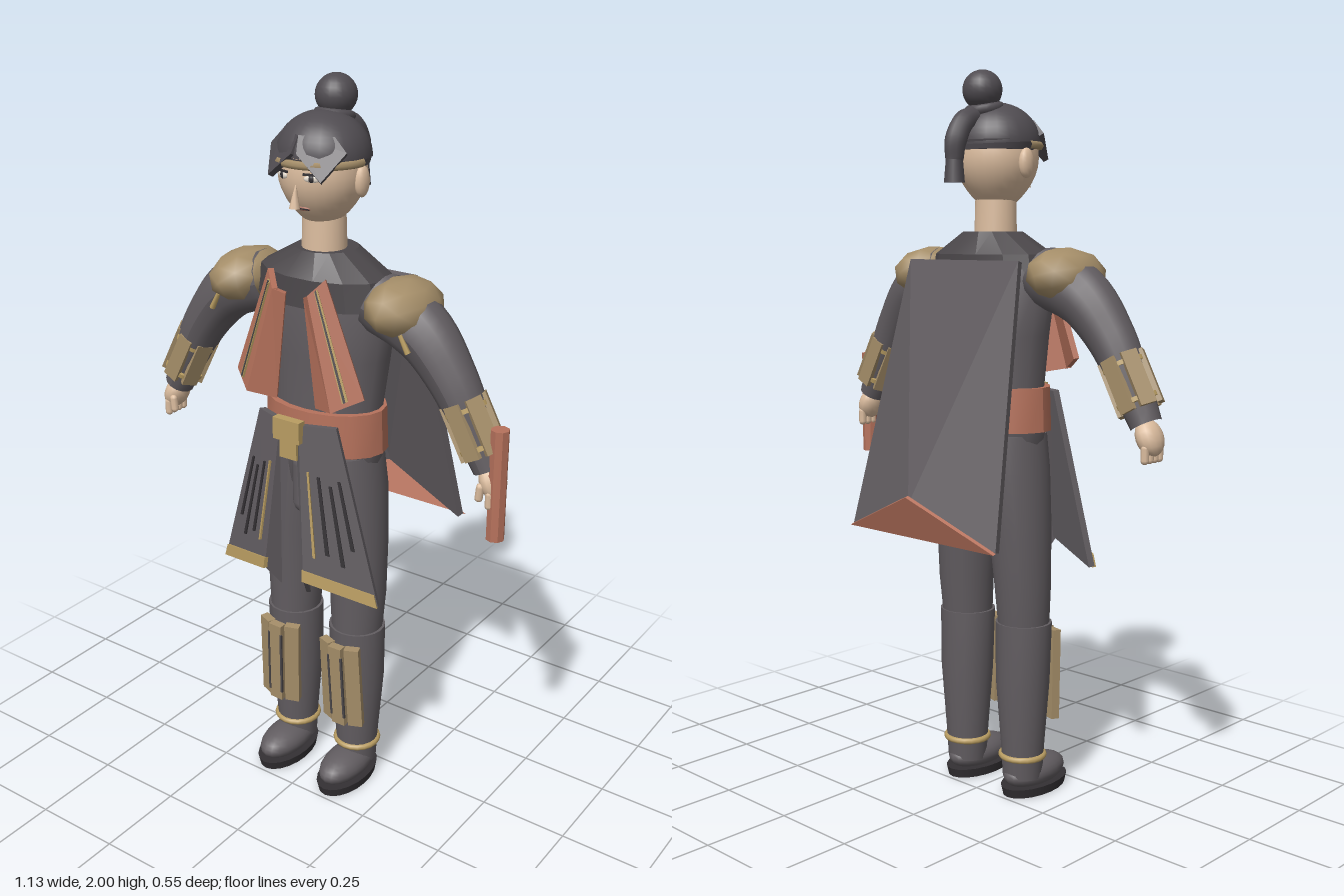
import * as THREE from 'three';
import { toCreasedNormals } from 'three/addons/utils/BufferGeometryUtils.js';

const V = (a) => new THREE.Vector3(...a);
const colour = (name, color) => Object.assign(new THREE.MeshStandardMaterial({ color }), { name });

export function createModel() {
  const model = new THREE.Group();
  const cloth = colour('charcoal cloth', 0x625d61);
  const dark = colour('dark mantle', 0x4b474a);
  const hairMat = colour('hair', 0x504c51);
  const black = colour('sole black', 0x333033);
  const skin = colour('skin', 0xdcbd9f);
  const tan = colour('tan armour', 0xa58e69);
  const gold = colour('gold trim', 0xb99d62);
  const clay = colour('terracotta', 0xb6725c);
  const white = colour('eye white', 0xe9dfd2);
  const lip = colour('lips', 0xb07868);

  function add(name, geo, mat, pos = [0, 0, 0], rot = [0, 0, 0], scale = [1, 1, 1], parent = model) {
    const m = new THREE.Mesh(geo, mat);
    m.name = name;
    m.position.set(...pos);
    m.rotation.set(...rot);
    m.scale.set(...scale);
    parent.add(m);
    return m;
  }
  const ball = (w = 20, h = 14) => new THREE.SphereGeometry(1, w, h);
  const box = (x, y, z) => new THREE.BoxGeometry(x, y, z);

  // Closed body of horizontal ellipses, listed bottom to top: [y, rx, rz, cx, cz]
  function loft(rings, n = 20, crease = 0.7) {
    const pos = [], idx = [];
    rings.forEach(([y, rx, rz, cx, cz]) => {
      for (let j = 0; j < n; j++) {
        const a = (j / n) * Math.PI * 2;
        pos.push(cx + rx * Math.cos(a), y, cz + rz * Math.sin(a));
      }
    });
    const last = rings.length - 1, c = rings.length * n;
    for (const r of [rings[0], rings[last]]) pos.push(r[3], r[0], r[4]);
    for (let j = 0; j < n; j++) {
      const k = (j + 1) % n;
      for (let i = 0; i < last; i++) {
        const a = i * n + j, b = i * n + k;
        idx.push(a, a + n, b, b, a + n, b + n);
      }
      idx.push(c, j, k, c + 1, last * n + k, last * n + j);
    }
    const g = new THREE.BufferGeometry();
    g.setAttribute('position', new THREE.Float32BufferAttribute(pos, 3));
    g.setIndex(idx);
    return toCreasedNormals(g, crease);
  }

  // Thin flat-faced plate from corners running anticlockwise seen from outside; s = -1 mirrors it
  function plate(corners, t = 0.012, s = 1) {
    let f = corners.map(([x, y, z]) => V([x * s, y, z]));
    if (s < 0) f.reverse();
    const n = f.length, d = f[n - 1].clone().sub(f[0]);
    const normal = f[1].clone().sub(f[0]).cross(f[2].clone().sub(f[0]))
      .add(f[2].clone().sub(f[0]).cross(d)).normalize();
    const b = f.map((p) => p.clone().addScaledVector(normal, -t));
    const tri = [];
    for (let i = 1; i < n - 1; i++) tri.push(f[0], f[i], f[i + 1], b[0], b[i + 1], b[i]);
    for (let i = 0; i < n; i++) {
      const k = (i + 1) % n;
      tri.push(f[i], b[i], f[k], f[k], b[i], b[k]);
    }
    const g = new THREE.BufferGeometry().setFromPoints(tri);
    g.computeVertexNormals();
    return g;
  }

  // Patch of a quad (top inner, bottom inner, bottom outer, top outer), lifted forward
  function patch([A, B, C, D], u0, u1, v0, v1, lift = 0.006) {
    const at = (u, v) => V(A).lerp(V(D), u).lerp(V(B).lerp(V(C), u), v).add(V([0, 0, lift])).toArray();
    return [at(u0, v0), at(u0, v1), at(u1, v1), at(u1, v0)];
  }

  // Tube whose radius follows a list of values along its path
  function taperTube(points, radii, n = 14, seg = 20) {
    const curve = new THREE.CatmullRomCurve3(points.map(V));
    const g = new THREE.TubeGeometry(curve, seg, 1, n);
    const p = g.attributes.position, v = new THREE.Vector3();
    for (let i = 0; i < p.count; i++) {
      const u = Math.floor(i / (n + 1)) / seg, k = u * (radii.length - 1);
      const a = Math.min(Math.floor(k), radii.length - 2);
      const c = curve.getPointAt(u);
      v.fromBufferAttribute(p, i).sub(c).multiplyScalar(THREE.MathUtils.lerp(radii[a], radii[a + 1], k - a)).add(c);
      p.setXYZ(i, v.x, v.y, v.z);
    }
    g.computeVertexNormals();
    return g;
  }

  // Torso, mantle and belt
  add('torso', loft([[1.02, 0.165, 0.105, 0, 0.065], [1.16, 0.165, 0.108, 0, 0.065], [1.3, 0.185, 0.113, 0, 0.062],
    [1.45, 0.205, 0.12, 0, 0.066], [1.51, 0.185, 0.11, 0, 0.066]]), cloth);
  add('mantle', loft([[1.44, 0.207, 0.124, 0, 0.068], [1.515, 0.19, 0.12, 0, 0.068], [1.575, 0.085, 0.08, 0, 0.065]], 14, 0.3), dark);
  add('neck', loft([[1.54, 0.06, 0.058, 0, 0.075], [1.68, 0.056, 0.055, 0, 0.075]]), skin);
  add('belt', loft([[1.04, 0.183, 0.125, 0, 0.07], [1.16, 0.178, 0.122, 0, 0.07]], 18, 0.45), clay);
  add('beltKnot', box(0.07, 0.07, 0.03), clay, [0, 1.12, -0.055]);
  add('buckle', box(0.085, 0.06, 0.025), gold, [0, 1.122, 0.238]);
  add('buckleDrop', box(0.055, 0.05, 0.025), gold, [0, 1.065, 0.23]);
  add('pelvis', loft([[0.86, 0.06, 0.07, 0, 0.065], [0.93, 0.15, 0.1, 0, 0.065], [1.05, 0.172, 0.112, 0, 0.065]]), cloth);
  add('loinCloth', new THREE.CapsuleGeometry(0.036, 0.11, 6, 12), cloth, [0, 0.945, 0.165]);

  // Head: a sphere narrowed towards the chin
  const chin = (dy) => (dy < 0 ? 1 - 0.28 * dy * dy : 1);
  const headZ = (x, y) => {
    const d = (y - 1.77) / 0.142, t = chin(d);
    return 0.08 + 0.115 * t * Math.sqrt(Math.max(0, 1 - d * d - (x / (0.112 * t)) ** 2));
  };
  const headGeo = ball(28, 20), hp = headGeo.attributes.position;
  for (let i = 0; i < hp.count; i++) {
    const d = hp.getY(i), t = chin(d);
    hp.setXYZ(i, hp.getX(i) * 0.112 * t, d * 0.142 + 1.77, hp.getZ(i) * 0.115 * t + 0.08);
  }
  headGeo.computeVertexNormals();
  add('head', headGeo, skin);
  add('nose', new THREE.ConeGeometry(0.014, 0.065, 8), skin, [0, 1.728, 0.195], [-0.12, 0, 0]);
  add('mouth', ball(12, 8), lip, [0, 1.69, headZ(0, 1.69)], [0.3, 0, 0], [0.026, 0.006, 0.004]);
  add('lipLine', box(0.046, 0.003, 0.004), black, [0, 1.69, headZ(0, 1.69) + 0.003]);

  // Hair: cap, bun, tie and tail
  add('hairCap', new THREE.SphereGeometry(1, 24, 12, 0, Math.PI * 2, 0, Math.PI * 0.5), hairMat, [0, 1.81, 0.075], [-0.06, 0, 0], [0.122, 0.108, 0.12]);
  add('hairBase', loft([[1.79, 0.113, 0.113, 0, 0.072], [1.815, 0.121, 0.12, 0, 0.074]], 24), hairMat);
  add('headBand', new THREE.TorusGeometry(0.117, 0.011, 6, 24, Math.PI), tan, [0, 1.803, 0.078], [Math.PI / 2, 0, 0]);
  add('bun', ball(), hairMat, [0, 1.947, 0.022], [0, 0, 0], [0.053, 0.053, 0.055]);
  add('bunTie', new THREE.TorusGeometry(0.04, 0.014, 8, 18), hairMat, [0, 1.9, 0.03], [Math.PI / 2 - 0.2, 0, 0]);
  add('ponytail', taperTube([[0, 1.88, 0.0], [0, 1.86, -0.05], [0, 1.81, -0.08], [0, 1.76, -0.085]], [0.025, 0.03, 0.03, 0.024], 10), hairMat);
  add('ponytailEnd', new THREE.CylinderGeometry(0.022, 0.028, 0.07, 10), hairMat, [0, 1.738, -0.085]);

  // Cape shell with a terracotta hem closing its foot
  const topL = [0.2, 1.5, -0.055], topR = [-0.2, 1.5, -0.055];
  const botL = [0.27, 0.77, -0.215], botR = [-0.27, 0.77, -0.215], apex = [0, 0.865, -0.262];
  add('capeBack', plate([topL, apex, topR], 0.016), cloth);
  add('capeHem', plate([[0.272, 0.765, -0.225], [-0.272, 0.765, -0.225], [0, 0.885, -0.272]], 0.01), clay);
  add('capeSideLeft', plate([topL, botL, apex], 0.02), cloth);
  add('capeSideRight', plate([topR, apex, botR], 0.02), cloth);

  const lapelOuter = [[0.055, 1.49, 0.225], [0.135, 1.2, 0.24], [0.205, 1.235, 0.19], [0.09, 1.53, 0.195]];
  const lapelInner = [[0.028, 1.475, 0.205], [0.062, 1.185, 0.205], [0.135, 1.2, 0.24], [0.055, 1.49, 0.225]];
  const apron = [[0.03, 1.14, 0.235], [0.065, 0.71, 0.27], [0.26, 0.66, 0.2], [0.125, 1.14, 0.2]];
  const apronFold = [[0.008, 1.13, 0.22], [0.042, 0.645, 0.225], [0.065, 0.71, 0.27], [0.03, 1.14, 0.235]];

  for (const s of [1, -1]) {
    const side = s > 0 ? 'left' : 'right';

    // Face details and fringe
    add(side + 'Ear', ball(12, 10), skin, [s * 0.113, 1.755, 0.072], [0, 0, 0], [0.016, 0.04, 0.026]);
    const ez = headZ(0.045, 1.772);
    add(side + 'Eye', ball(12, 8), white, [s * 0.045, 1.772, ez], [0, s * 0.4, 0], [0.022, 0.009, 0.005]);
    add(side + 'Iris', ball(10, 8), black, [s * 0.044, 1.772, ez + 0.003], [0, s * 0.4, 0], [0.008, 0.009, 0.004]);
    add(side + 'Lash', box(0.048, 0.005, 0.006), black, [s * 0.046, 1.782, ez + 0.001], [0, s * 0.4, -s * 0.04]);
    add(side + 'Brow', box(0.052, 0.008, 0.008), hairMat, [s * 0.047, 1.803, headZ(0.047, 1.803)], [0, s * 0.42, s * 0.15]);
    add(side + 'Fringe', plate([[0, 1.872, 0.18], [0.008, 1.83, 0.2], [0.08, 1.77, 0.2], [0.115, 1.835, 0.14], [0.08, 1.87, 0.14]], 0.015, s), hairMat);

    // Chest lapels
    add(side + 'LapelOuter', plate(lapelOuter, 0.016, s), clay);
    add(side + 'LapelInner', plate(lapelInner, 0.016, s), clay);
    add(side + 'LapelTrim', plate(patch(lapelOuter, 0.42, 0.6, 0.02, 0.96), 0.008, s), gold);
    add(side + 'LapelSeam', plate(patch(lapelOuter, 0.47, 0.54, 0.02, 0.96, 0.008), 0.004, s), dark);

    // Split apron with slits and a gold hem
    add(side + 'Apron', plate(apron, 0.018, s), cloth);
    add(side + 'ApronFold', plate(apronFold, 0.012, s), cloth);
    add(side + 'ApronHem', plate(patch(apron, 0, 1, 0.93, 1.005), 0.012, s), gold);
    add(side + 'ApronTrim', plate(patch(apron, 0.17, 0.21, 0.28, 0.82), 0.008, s), gold);
    for (const [u, v0, v1] of [[0.36, 0.3, 0.78], [0.58, 0.34, 0.82], [0.78, 0.3, 0.7]])
      add(side + 'ApronSlit', plate(patch(apron, u, u + 0.06, v0, v1, 0.004), 0.007, s), black);

    // Arm, shoulder pad and bracer
    const arm = [[0.17, 1.46, 0.075], [0.3, 1.41, 0.08], [0.395, 1.305, 0.085], [0.46, 1.19, 0.085], [0.512, 1.09, 0.085]];
    add(side + 'Sleeve', taperTube(arm.map(([x, y, z]) => [s * x, y, z]), [0.08, 0.08, 0.066, 0.055, 0.042]), cloth);
    add(side + 'ShoulderPad', new THREE.IcosahedronGeometry(1, 1), tan, [s * 0.248, 1.462, 0.08], [0, 0, -s * 0.2], [0.09, 0.073, 0.13]);
    add(side + 'PadTassel', new THREE.CylinderGeometry(0.006, 0.008, 0.05, 6), gold, [s * 0.3, 1.395, 0.16], [0, 0, s * 0.5]);
    const bracer = new THREE.Group();
    bracer.name = side + 'Bracer';
    bracer.position.set(s * 0.462, 1.192, 0.085);
    bracer.rotation.z = s * 0.49;
    model.add(bracer);
    for (let i = 0; i < 6; i++) {
      const a = (i / 6) * Math.PI * 2;
      add('bracerPanel', box(0.044, 0.145, 0.014), tan, [Math.sin(a) * 0.054, 0, Math.cos(a) * 0.054], [0, a, 0], [1, 1, 1], bracer);
    }
    for (const y of [-0.05, 0.05])
      add('bracerStrap', new THREE.CylinderGeometry(0.06, 0.06, 0.012, 12), gold, [0, y, 0], [0, 0, 0], [1, 1, 1], bracer);

    // Hand
    const hand = new THREE.Group();
    hand.name = side + 'Hand';
    hand.position.set(s * 0.525, 1.055, 0.085);
    hand.rotation.z = s * 0.4;
    model.add(hand);
    add('palm', ball(14, 10), skin, [0, 0.005, 0], [0, 0, 0], [0.032, 0.05, 0.043], hand);
    for (let i = 0; i < 4; i++)
      add('finger', new THREE.CapsuleGeometry(0.011, 0.03, 4, 8), skin, [-s * 0.008, -0.035, -0.03 + i * 0.02], [0, 0, -s * 0.4], [1, 1, 1], hand);
    add('thumb', new THREE.CapsuleGeometry(0.011, 0.03, 4, 8), skin, [-s * 0.025, -0.01, 0.035], [0, 0, -s * 0.5], [1, 1, 1], hand);

    // Leg, boot and shoe
    const x = s * 0.108;
    add(side + 'Thigh', loft([[0.46, 0.07, 0.07, x, 0.078], [0.6, 0.078, 0.08, x, 0.072], [0.78, 0.085, 0.092, s * 0.1, 0.068],
      [0.93, 0.085, 0.102, s * 0.09, 0.065], [1.03, 0.075, 0.1, s * 0.085, 0.065]]), cloth);
    add(side + 'Boot', loft([[0.05, 0.056, 0.056, x, 0.075], [0.14, 0.061, 0.062, x, 0.075], [0.33, 0.077, 0.074, x, 0.074], [0.5, 0.08, 0.078, x, 0.077]]), cloth);
    add(side + 'AnkleRing', new THREE.TorusGeometry(0.06, 0.009, 8, 20), gold, [x, 0.112, 0.075], [Math.PI / 2, 0, 0]);
    add(side + 'Shoe', ball(), cloth, [x, 0.053, 0.125], [0, 0, 0], [0.06, 0.045, 0.113]);
    add(side + 'Sole', new THREE.CylinderGeometry(1, 0.94, 0.026, 20), black, [x, 0.013, 0.125], [0, 0, 0], [0.068, 1, 0.12]);

    // Shin guard of three slats
    for (const i of [-1, 0, 1]) {
      add(side + 'ShinSlat', box(0.042, 0.255, 0.024), tan, [x + i * 0.043, 0.34, i ? 0.153 : 0.168], [0.04, i * 0.35, s * 0.03]);
      if (i) add(side + 'ShinGroove', box(0.006, 0.2, 0.006), dark, [x + i * 0.021, 0.34, 0.179], [0.04, 0, s * 0.03]);
    }
  }

  // Baton held in the left hand
  add('baton', new THREE.CylinderGeometry(0.024, 0.024, 0.3, 8).toNonIndexed(), clay, [0.545, 1.06, 0.1]).geometry.computeVertexNormals();
  return model;
}
